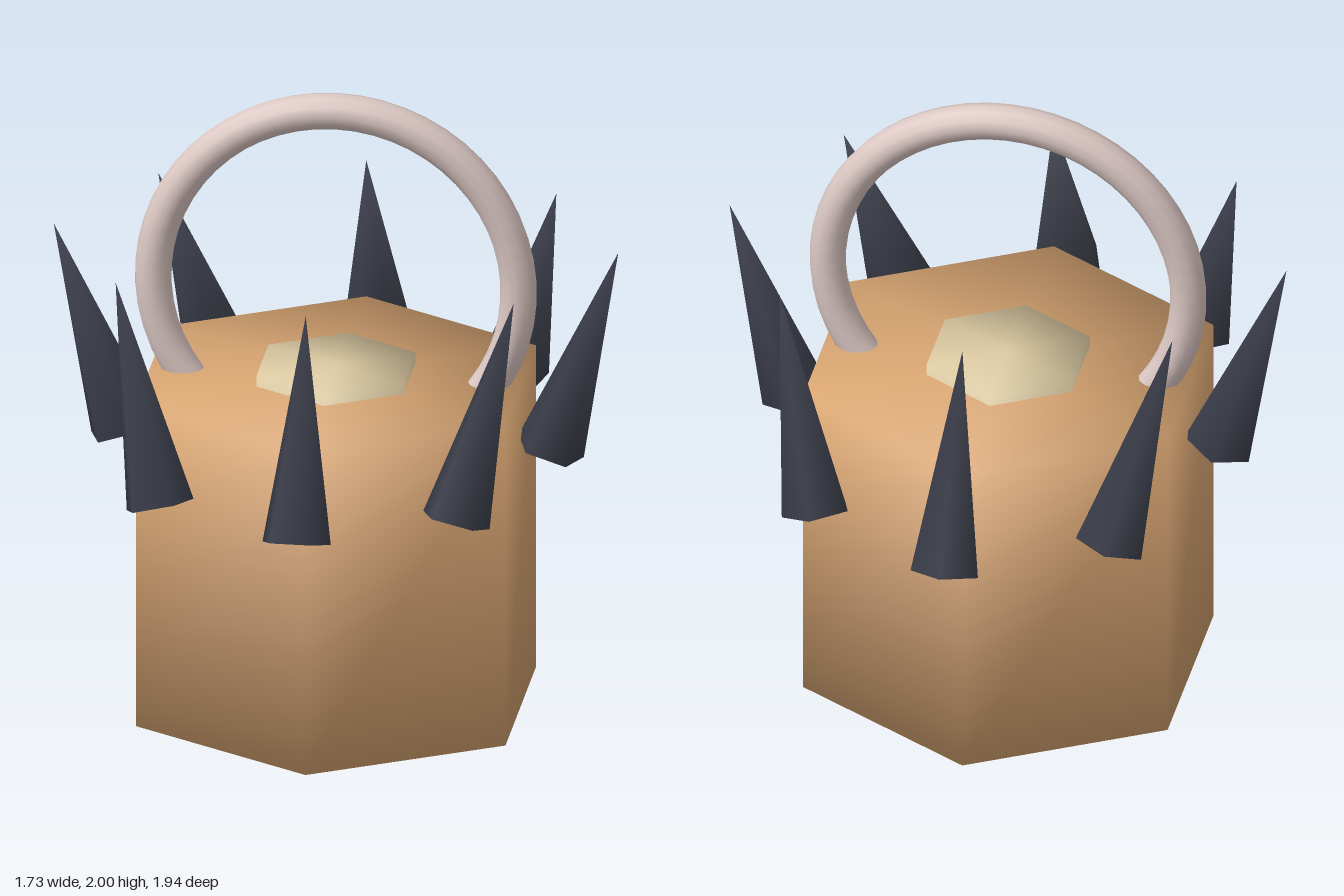
import * as THREE from 'three';
import { mergeVertices } from 'three/addons/utils/BufferGeometryUtils.js';

const paint = (name, color) => {
  const m = new THREE.MeshStandardMaterial({ color });
  m.name = name;
  return m;
};

// Six-sided prism whose shading is smooth over every edge, caps included
function softHexPrism(radius, height) {
  const g = new THREE.CylinderGeometry(radius, radius, height, 6);
  const p = g.attributes.position;
  for (let i = 0; i < p.count; i++) {
    g.attributes.normal.setXYZ(i, 0.79 * p.getX(i) / radius, 0.61 * Math.sign(p.getY(i)), 0.79 * p.getZ(i) / radius);
  }
  return g;
}

// Five-sided spike with shared, smooth corners; one corner points to the back
function spikeGeometry(radius, length) {
  const g = new THREE.ConeGeometry(radius, length, 5, 1, false, Math.PI);
  g.translate(0, length / 2, 0);
  g.deleteAttribute('normal');
  g.deleteAttribute('uv');
  const merged = mergeVertices(g);
  merged.computeVertexNormals();
  return merged;
}

export function createModel() {
  const model = new THREE.Group();
  model.name = 'spikedHexBasket';
  const tan = paint('tan', 0xdba773);
  const cream = paint('cream', 0xdccaa2);
  const pink = paint('pale pink', 0xdbc7c3);
  const slate = paint('dark slate', 0x3b3e4a);

  const add = (name, geometry, material, x, y, z) => {
    const mesh = new THREE.Mesh(geometry, material);
    mesh.name = name;
    mesh.position.set(x, y, z);
    model.add(mesh);
    return mesh;
  };

  // Hexagonal body and the core that shows above and below it
  add('body', softHexPrism(0.654, 1.05), tan, 0, 0.56, 0.005);
  add('core', softHexPrism(0.26, 1.12), cream, 0, 0.56, 0.005);

  // Arched handle, its ends sunk into the body
  const sweep = Math.PI + 1.5;
  const arch = new THREE.TorusGeometry(0.56, 0.056, 12, 40, sweep);
  arch.rotateZ(Math.PI / 2 - sweep / 2);
  add('handle', arch, pink, 0, 1.385, 0.005);

  // Ring of spikes: [base x, base z, tip x, tip z], mirrored in x and z
  const layout = [
    [0.655, 0, 0.865, 0],
    [0.455, 0.628, 0.61, 0.458],
    [0, 0.877, 0, 0.65],
  ];
  const baseY = 0.877, tipY = 1.53;
  const up = new THREE.Vector3(0, 1, 0);
  for (const [bx, bz, tx, tz] of layout) {
    for (const sx of bx ? [1, -1] : [1]) {
      for (const sz of bz ? [1, -1] : [1]) {
        const axis = new THREE.Vector3(sx * (tx - bx), tipY - baseY, sz * (tz - bz));
        const spike = add('spike', spikeGeometry(0.11, axis.length()), slate, sx * bx, baseY, sz * bz + 0.003);
        spike.quaternion.setFromUnitVectors(up, axis.normalize());
      }
    }
  }
  return model;
}
